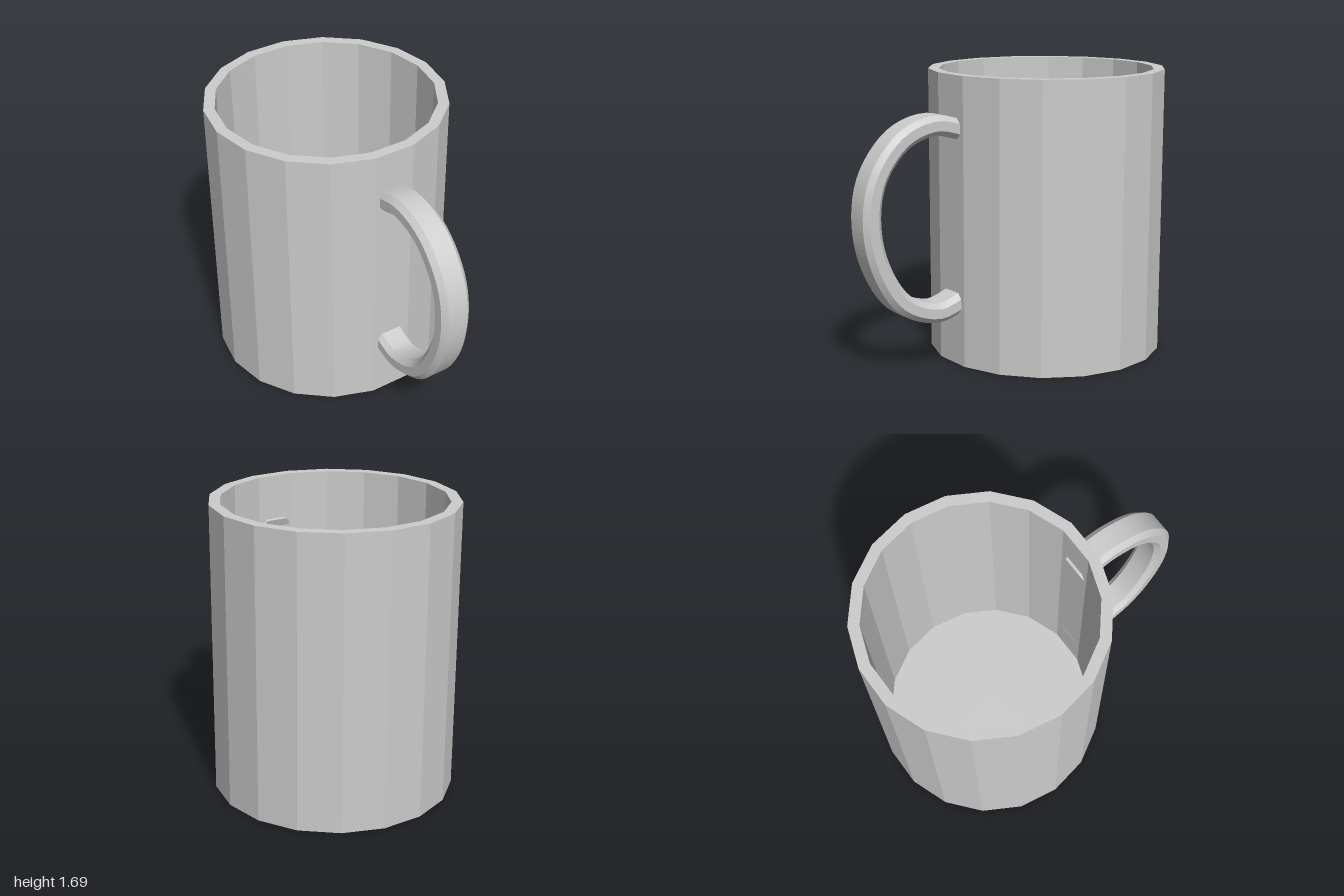
import * as THREE from 'three';

const HEIGHT = 1.69, OUTER = 0.7, INNER = 0.636, FLOOR = 0.07, SIDES = 18, CENTRE_Z = -0.31;

const ceramic = new THREE.MeshStandardMaterial({ color: 0xcccccc });
ceramic.name = 'greyCeramic';

// Faceted hollow cup with a thick wall and floor
function createCup() {
  const profile = [[0, 0], [OUTER, 0], [OUTER, HEIGHT], [INNER, HEIGHT], [INNER, FLOOR], [0, FLOOR]]
    .map(([r, y]) => new THREE.Vector2(r, y));
  const geometry = new THREE.LatheGeometry(profile, SIDES, Math.PI / SIDES).toNonIndexed();
  geometry.computeVertexNormals();
  const cup = new THREE.Mesh(geometry, ceramic);
  cup.name = 'cup';
  cup.position.z = CENTRE_Z;
  return cup;
}

// Chamfered band swept along a curve: smooth lengthwise, sharp at the chamfers
function createHandle() {
  const path = new THREE.CatmullRomCurve3([
    [0.32, 1.37], [0.38, 1.39], [0.53, 1.419], [0.73, 1.355], [0.895, 1.16], [0.943, 0.93],
    [0.895, 0.665], [0.74, 0.425], [0.515, 0.337], [0.38, 0.37], [0.335, 0.387],
  ].map(([z, y]) => new THREE.Vector3(0, y, z)));
  const w = 0.092, t = 0.058, c = 0.03;
  const section = [
    [w, c - t], [w, t - c], [w - c, t], [c - w, t],
    [-w, t - c], [-w, c - t], [c - w, -t], [w - c, -t],
  ];
  const steps = 40;
  const rings = [];
  for (let i = 0; i <= steps; i++) {
    const p = path.getPointAt(i / steps);
    const d = path.getTangentAt(i / steps);
    // The outward direction is the tangent turned a quarter about x
    rings.push(section.map(([x, o]) => new THREE.Vector3(x, p.y + o * d.z, p.z - o * d.y)));
  }

  const positions = [], indices = [];
  const add = (v) => positions.push(v.x, v.y, v.z) / 3 - 1;
  const n = section.length;
  // Each side of the section is its own strip
  for (let k = 0; k < n; k++) {
    const base = positions.length / 3;
    for (const ring of rings) { add(ring[k]); add(ring[(k + 1) % n]); }
    for (let i = 0; i < steps; i++) {
      const a = base + i * 2;
      indices.push(a, a + 1, a + 2, a + 1, a + 3, a + 2);
    }
  }
  // End caps
  for (const [ring, flip] of [[rings[0], true], [rings[steps], false]]) {
    const base = positions.length / 3;
    ring.forEach(add);
    for (let k = 1; k < n - 1; k++) {
      indices.push(base, base + (flip ? k + 1 : k), base + (flip ? k : k + 1));
    }
  }
  const geometry = new THREE.BufferGeometry();
  geometry.setAttribute('position', new THREE.Float32BufferAttribute(positions, 3));
  geometry.setIndex(indices);
  geometry.computeVertexNormals();
  const handle = new THREE.Mesh(geometry, ceramic);
  handle.name = 'handle';
  return handle;
}

export function createModel() {
  const mug = new THREE.Group();
  mug.name = 'mug';
  mug.add(createCup(), createHandle());
  return mug;
}
